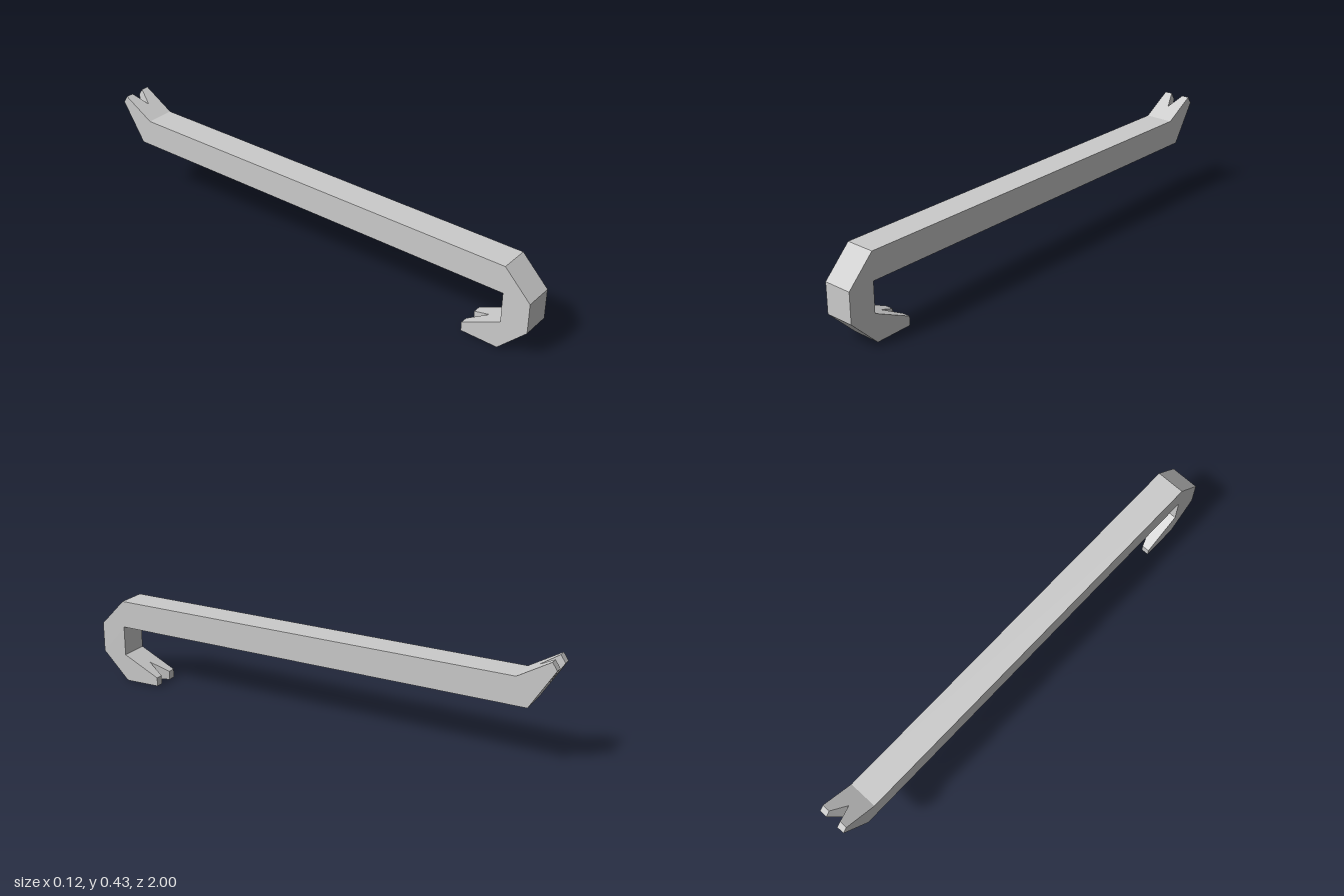
import * as THREE from 'three';

const HALF = 0.06;  // half the bar width
const SLOT = 0.028; // half the notch opening at a claw tip

const material = new THREE.MeshStandardMaterial({ color: 0xcccccc, flatShading: true });

function shapeOf(points) {
  return new THREE.Shape(points.map(([x, y]) => new THREE.Vector2(x, y)));
}

function addMesh(group, geometry, name) {
  const mesh = new THREE.Mesh(geometry, material);
  mesh.name = name;
  group.add(mesh);
}

// V-notched claw: a flat plan (x, t from root to tip) extruded with depth d,
// then bent between root and tip edges given as [z, y] pairs
function clawGeometry({ rootLow, rootHigh, tipLow, tipHigh }) {
  const plan = shapeOf([
    [-HALF, 0], [HALF, 0], [HALF, 1], [SLOT, 1], [0, 0.5], [-SLOT, 1], [-HALF, 1],
  ]);
  const geometry = new THREE.ExtrudeGeometry(plan, { depth: 1, bevelEnabled: false });
  const pos = geometry.attributes.position;
  const { lerp } = THREE.MathUtils;
  for (let i = 0; i < pos.count; i++) {
    const t = pos.getY(i), d = pos.getZ(i);
    const [z, y] = [0, 1].map((k) =>
      lerp(lerp(rootLow[k], tipLow[k], t), lerp(rootHigh[k], tipHigh[k], t), d));
    pos.setXYZ(i, pos.getX(i), y, z);
  }
  geometry.computeVertexNormals();
  return geometry;
}

export function createModel() {
  const group = new THREE.Group();
  group.name = 'crowbar';

  // Straight shank and angular hook, as a side profile in [z, y]
  const profile = shapeOf([
    [-0.9, 0.24], [0.89, 0.24], [0.89, 0.115], [0.885, 0],
    [1, 0.115], [1, 0.24], [0.89, 0.353], [-0.85, 0.353],
  ]);
  const bar = new THREE.ExtrudeGeometry(profile, { depth: HALF * 2, bevelEnabled: false });
  bar.translate(0, 0, -HALF);
  bar.rotateY(-Math.PI / 2);
  addMesh(group, bar, 'shankAndHook');

  // Claw at the end of the hook
  addMesh(group, clawGeometry({
    rootLow: [0.885, 0], rootHigh: [0.89, 0.115],
    tipLow: [0.73, 0.003], tipHigh: [0.73, 0.04],
  }), 'hookClaw');

  // Upturned claw at the far end of the shank
  addMesh(group, clawGeometry({
    rootLow: [-0.9, 0.24], rootHigh: [-0.85, 0.353],
    tipLow: [-1, 0.4], tipHigh: [-0.98, 0.43],
  }), 'rearClaw');

  return group;
}
